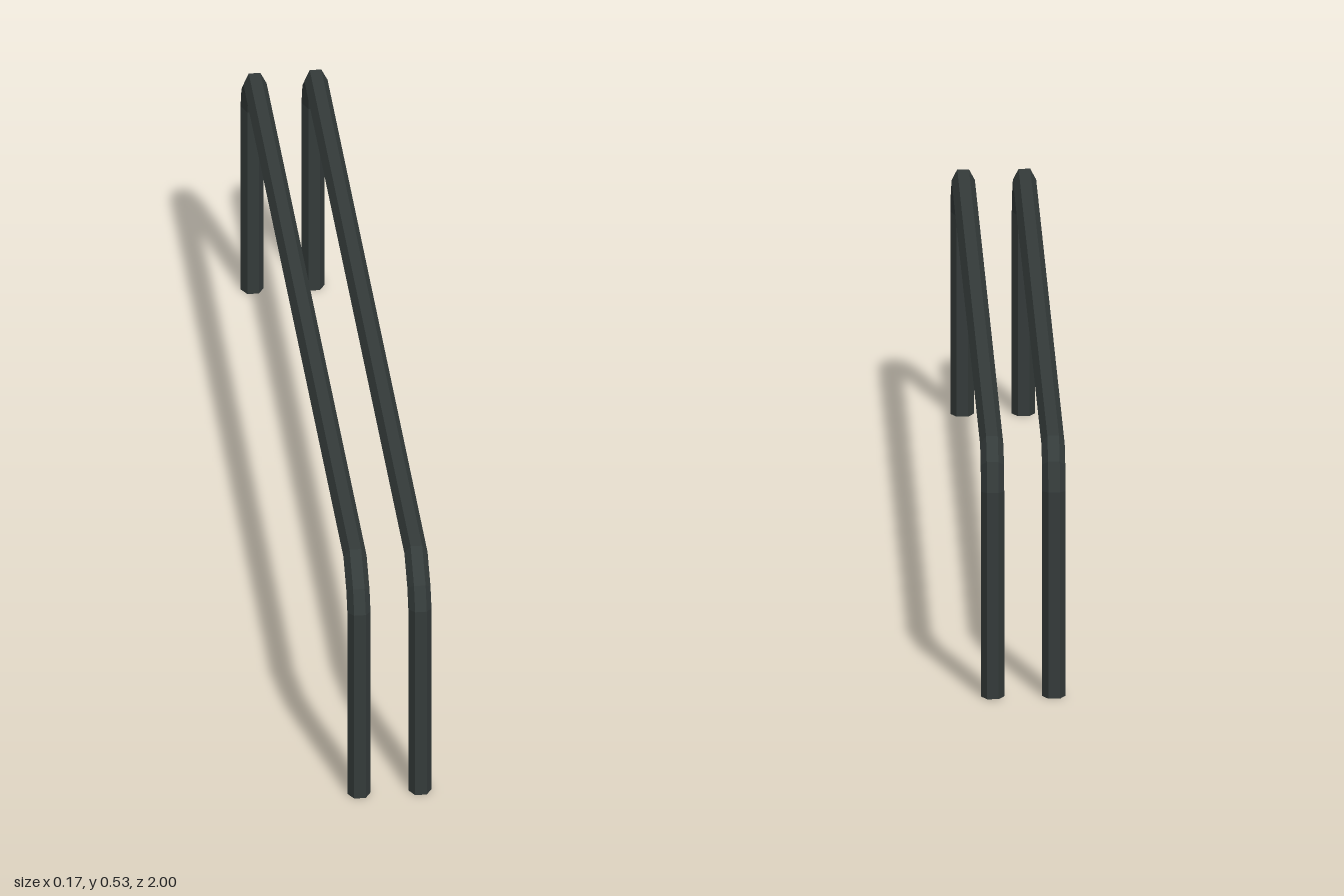
import * as THREE from 'three';

const RADIUS = 0.0232;
const SIDES = 6;

// Centre line of one rail as (z, y), from the front foot to the back foot
const PATH = [
  [0.98, 0], [0.98, 0.42], [0.962, 0.46], [0.908, 0.507],
  [-0.927, 0.507], [-0.963, 0.475], [-0.98, 0.425], [-0.98, 0],
].map(([z, y]) => new THREE.Vector2(z, y));

// Hexagonal tube swept along the centre line with mitred bends and open feet
function railGeometry() {
  const positions = [];
  const index = [];
  PATH.forEach((p, i) => {
    const before = p.clone().sub(PATH[Math.max(i - 1, 0)]).normalize();
    const after = PATH[Math.min(i + 1, PATH.length - 1)].clone().sub(p).normalize();
    const tangent = before.clone().add(after).normalize();
    const cosHalf = tangent.dot(i === 0 ? after : before);
    // Outward direction in the plane of the rail
    const nz = tangent.y / cosHalf;
    const ny = -tangent.x / cosHalf;
    for (let s = 0; s < SIDES; s++) {
      const a = (s / SIDES) * Math.PI * 2;
      const across = Math.cos(a) * RADIUS;
      const out = Math.sin(a) * RADIUS;
      positions.push(across, p.y + ny * out, p.x + nz * out);
    }
  });
  for (let i = 0; i < PATH.length - 1; i++) {
    for (let s = 0; s < SIDES; s++) {
      const a = i * SIDES + s;
      const b = i * SIDES + ((s + 1) % SIDES);
      index.push(a, b + SIDES, a + SIDES, a, b, b + SIDES);
    }
  }
  // Wind the faces outward
  for (let i = 0; i < index.length; i += 3) {
    [index[i + 1], index[i + 2]] = [index[i + 2], index[i + 1]];
  }
  const geometry = new THREE.BufferGeometry();
  geometry.setAttribute('position', new THREE.Float32BufferAttribute(positions, 3));
  geometry.setIndex(index);
  const flat = geometry.toNonIndexed();
  flat.computeVertexNormals();
  return flat;
}

export function createModel() {
  const group = new THREE.Group();
  group.name = 'parallelRails';
  const darkMetal = new THREE.MeshStandardMaterial({
    color: 0x343b3a, flatShading: true, side: THREE.DoubleSide,
  });
  darkMetal.name = 'darkMetal';

  // Two identical rails side by side
  const geometry = railGeometry();
  for (const [name, x] of [['leftRail', 0.061], ['rightRail', -0.061]]) {
    const rail = new THREE.Mesh(geometry, darkMetal);
    rail.name = name;
    rail.position.x = x;
    group.add(rail);
  }
  return group;
}
